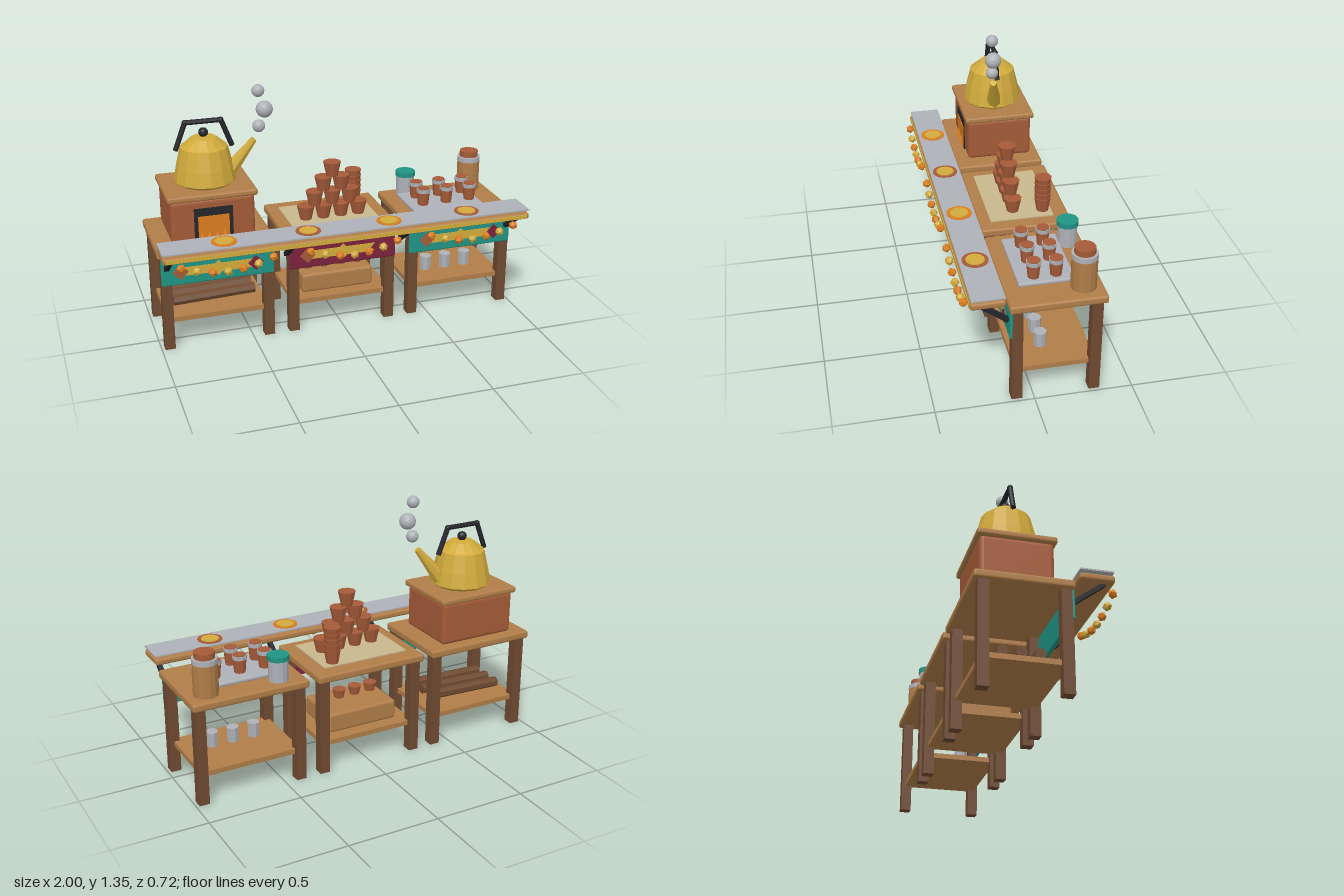
import * as THREE from 'three';
import { RoundedBoxGeometry } from 'three/addons/geometries/RoundedBoxGeometry.js';

const mat = (name, color) => {
  const m = new THREE.MeshStandardMaterial({ color, flatShading: true });
  m.name = name;
  return m;
};

export function createModel() {
  const wood = mat('wood', 0xb07d48), darkWood = mat('dark wood', 0x6f4a31);
  const clay = mat('clay', 0xa55b38), teal = mat('teal', 0x1f9484);
  const maroon = mat('maroon', 0x7c223c), gold = mat('gold', 0xd2ab3c);
  const orange = mat('orange', 0xdb7d1e), metal = mat('metal', 0xaeb1b7);
  const black = mat('black', 0x25262a), cloth = mat('cloth', 0xc8b78c);

  const root = new THREE.Group();
  root.name = 'teaStall';
  const group = (name, x = 0, y = 0, z = 0) => {
    const g = new THREE.Group();
    g.name = name;
    g.position.set(x, y, z);
    root.add(g);
    return g;
  };
  const add = (parent, name, geo, m, x = 0, y = 0, z = 0) => {
    const mesh = new THREE.Mesh(geo, m);
    mesh.name = name;
    mesh.position.set(x, y, z);
    parent.add(mesh);
    return mesh;
  };
  const box = (p, name, m, w, h, d, x, y, z) => add(p, name, new THREE.BoxGeometry(w, h, d), m, x, y, z);
  const rbox = (p, name, m, w, h, d, x, y, z, r = 0.012) =>
    add(p, name, new RoundedBoxGeometry(w, h, d, 2, r), m, x, y, z);
  // upright cylinder standing on y0
  const cyl = (p, name, m, rTop, rBottom, y0, y1, x, z, n = 12) =>
    add(p, name, new THREE.CylinderGeometry(rTop, rBottom, y1 - y0, n), m, x, (y0 + y1) / 2, z);
  // tapered rod between two points
  const rod = (p, name, m, a, b, rA, rB, n = 8) => {
    const A = new THREE.Vector3(...a), B = new THREE.Vector3(...b), dir = B.clone().sub(A);
    const mesh = add(p, name, new THREE.CylinderGeometry(rB, rA, dir.length(), n), m);
    mesh.position.copy(A).add(B).multiplyScalar(0.5);
    mesh.quaternion.setFromUnitVectors(new THREE.Vector3(0, 1, 0), dir.normalize());
    return mesh;
  };

  // three tables with shelves and painted aprons
  const TX = [-0.683, 0, 0.683];
  TX.forEach((x, i) => {
    const t = group('table', x);
    rbox(t, 'tableTop', wood, 0.63, 0.043, 0.485, 0, 0.547, -0.115);
    for (const lx of [-0.272, 0.272]) for (const lz of [0.087, -0.308])
      box(t, 'leg', darkWood, 0.055, 0.53, 0.055, lx, 0.265, lz);
    box(t, 'lowerShelf', wood, 0.55, 0.027, 0.41, 0, 0.161, -0.11);
    rbox(t, 'apron', i === 1 ? maroon : teal, 0.6, 0.155, 0.02, 0, 0.45, 0.116, 0.008);
    box(t, 'apronStripe', gold, 0.43, 0.047, 0.006, 0, 0.447, 0.127);
    [clay, gold, maroon].forEach((m, k) => {
      const d = box(t, 'apronDiamond', m, 0.06, 0.06, 0.006, (k - 1) * 0.2, 0.447, 0.131);
      d.rotation.z = Math.PI / 4;
    });
  });

  // serving counter with metal sheet and round coasters
  const counter = group('counter');
  rbox(counter, 'counterBoard', wood, 2, 0.035, 0.173, 0, 0.597, 0.233);
  box(counter, 'counterTrim', gold, 1.97, 0.022, 0.006, 0, 0.597, 0.319);
  box(counter, 'counterSheet', metal, 2, 0.008, 0.165, 0, 0.631, 0.232);
  [-0.67, -0.225, 0.22, 0.665].forEach((x, i) => {
    cyl(counter, 'coasterRim', i % 2 ? clay : orange, 0.067, 0.067, 0.634, 0.638, x, 0.232, 20);
    cyl(counter, 'coaster', gold, 0.048, 0.048, 0.637, 0.641, x, 0.232, 20);
  });
  for (const x of [-0.955, -0.318, 0.318, 0.955]) {
    const b = box(counter, 'bracket', black, 0.025, 0.185, 0.022, x, 0.528, 0.203);
    b.rotation.x = Math.atan2(0.148, 0.11);
  }

  // hanging flower garlands
  const garland = group('garland');
  const bead = new THREE.IcosahedronGeometry(0.024, 0);
  for (const cx of [-0.675, -0.005, 0.66]) for (let i = 0; i < 7; i++) {
    const u = (i - 3) / 3;
    add(garland, 'flower', bead, i % 2 ? gold : orange, cx + u * 0.237, 0.515 + 0.048 * u * u, 0.334)
      .rotation.set(i, i * 0.7, 0);
  }

  // clay stove with fire opening
  const sx = -0.683, sz = -0.127;
  const stove = group('stove', sx, 0, sz);
  rbox(stove, 'stoveBody', clay, 0.445, 0.235, 0.365, 0, 0.685, 0, 0.02);
  rbox(stove, 'stoveTop', wood, 0.475, 0.034, 0.395, 0, 0.816, 0);
  box(stove, 'fireFrame', black, 0.205, 0.185, 0.012, 0, 0.664, 0.181);
  box(stove, 'fireGlow', orange, 0.165, 0.14, 0.006, 0, 0.643, 0.187);
  for (let i = 0; i < 4; i++)
    add(stove, 'flame', new THREE.ConeGeometry(0.02, i % 2 ? 0.075 : 0.055, 5), orange,
      -0.06 + i * 0.04, i % 2 ? 0.625 : 0.615, 0.185);

  // kettle
  const kettle = group('kettle', sx, 0, sz);
  const profile = [[0, 0.834], [0.14, 0.834], [0.164, 0.852], [0.15, 0.93], [0.125, 1.032],
    [0.115, 1.038], [0.066, 1.08], [0, 1.085]].map(p => new THREE.Vector2(...p));
  add(kettle, 'kettleBody', new THREE.LatheGeometry(profile, 14), gold);
  add(kettle, 'lidKnob', new THREE.IcosahedronGeometry(0.026, 1), black, 0, 1.106, 0);
  rod(kettle, 'spout', gold, [0.11, 0.86, 0.012], [0.258, 1.055, 0.044], 0.046, 0.018);
  const grip = [[-0.15, 1.02, 0], [-0.095, 1.165, 0], [0.095, 1.165, 0], [0.15, 1.02, 0]];
  for (let i = 0; i < 3; i++) rod(kettle, 'handle', black, grip[i], grip[i + 1], 0.014, 0.014);
  for (const k of [1, 2]) add(kettle, 'handleJoint', new THREE.IcosahedronGeometry(0.0155, 1), black, ...grip[k]);

  // steam puffs
  const steam = group('steam');
  for (const [x, y, r] of [[-0.4, 1.13, 0.034], [-0.368, 1.218, 0.045], [-0.4, 1.32, 0.034]])
    add(steam, 'steamPuff', new THREE.IcosahedronGeometry(r, 2), metal, x, y, -0.07);

  // cup pyramid and nested stack on a cloth
  const cups = group('clayCups');
  box(cups, 'tableCloth', cloth, 0.49, 0.008, 0.34, -0.005, 0.571, -0.103);
  for (let row = 0; row < 4; row++) for (let i = 0; i < 4 - row; i++) {
    const y = 0.573 + row * 0.079;
    cyl(cups, 'cup', clay, 0.048, 0.031, y, y + 0.079, (i - (3 - row) / 2) * 0.1, -0.07, 10);
  }
  for (let i = 0; i < 5; i++)
    cyl(cups, 'stackedCup', clay, 0.046, 0.032, 0.573 + i * 0.03, 0.653 + i * 0.03, 0.172, -0.228, 10);

  // crate of cups on the middle shelf
  const crate = group('crate');
  rbox(crate, 'crateBox', wood, 0.405, 0.107, 0.285, 0, 0.23, -0.112, 0.015);
  for (let i = 0; i < 4; i++)
    cyl(crate, 'crateCup', clay, 0.037, 0.024, 0.27, 0.332, (i - 1.5) * 0.096, -0.072, 10);

  // firewood on the left shelf
  const firewood = group('firewood');
  for (const z of [-0.2, -0.11, -0.02])
    rod(firewood, 'log', darkWood, [-0.905, 0.217, z], [-0.46, 0.232, z], 0.029, 0.029, 7);

  // tray of filled glasses
  const tray = group('tray');
  rbox(tray, 'trayPlate', metal, 0.41, 0.022, 0.285, 0.645, 0.582, -0.088, 0.008);
  for (const x of [0.52, 0.658, 0.797]) for (const z of [-0.143, -0.03]) {
    cyl(tray, 'glass', clay, 0.036, 0.029, 0.592, 0.668, x, z, 10);
    cyl(tray, 'glassBand', metal, 0.038, 0.037, 0.665, 0.686, x, z, 10);
    cyl(tray, 'tea', clay, 0.034, 0.034, 0.68, 0.69, x, z, 10);
  }

  // storage jars
  const jars = group('jars');
  cyl(jars, 'sugarJar', metal, 0.052, 0.052, 0.567, 0.684, 0.505, -0.275);
  cyl(jars, 'sugarJarLid', teal, 0.057, 0.057, 0.682, 0.708, 0.505, -0.275);
  cyl(jars, 'biscuitJar', wood, 0.065, 0.065, 0.567, 0.74, 0.89, -0.257, 14);
  cyl(jars, 'biscuitJarBand', metal, 0.066, 0.066, 0.738, 0.765, 0.89, -0.257, 14);
  cyl(jars, 'biscuitJarLid', clay, 0.053, 0.053, 0.763, 0.797, 0.89, -0.257, 14);

  // metal tumblers on the right shelf
  const tumblers = group('tumblers');
  for (const x of [0.562, 0.68, 0.798])
    cyl(tumblers, 'tumbler', metal, 0.034, 0.031, 0.174, 0.256, x, -0.07, 8);

  return root;
}
